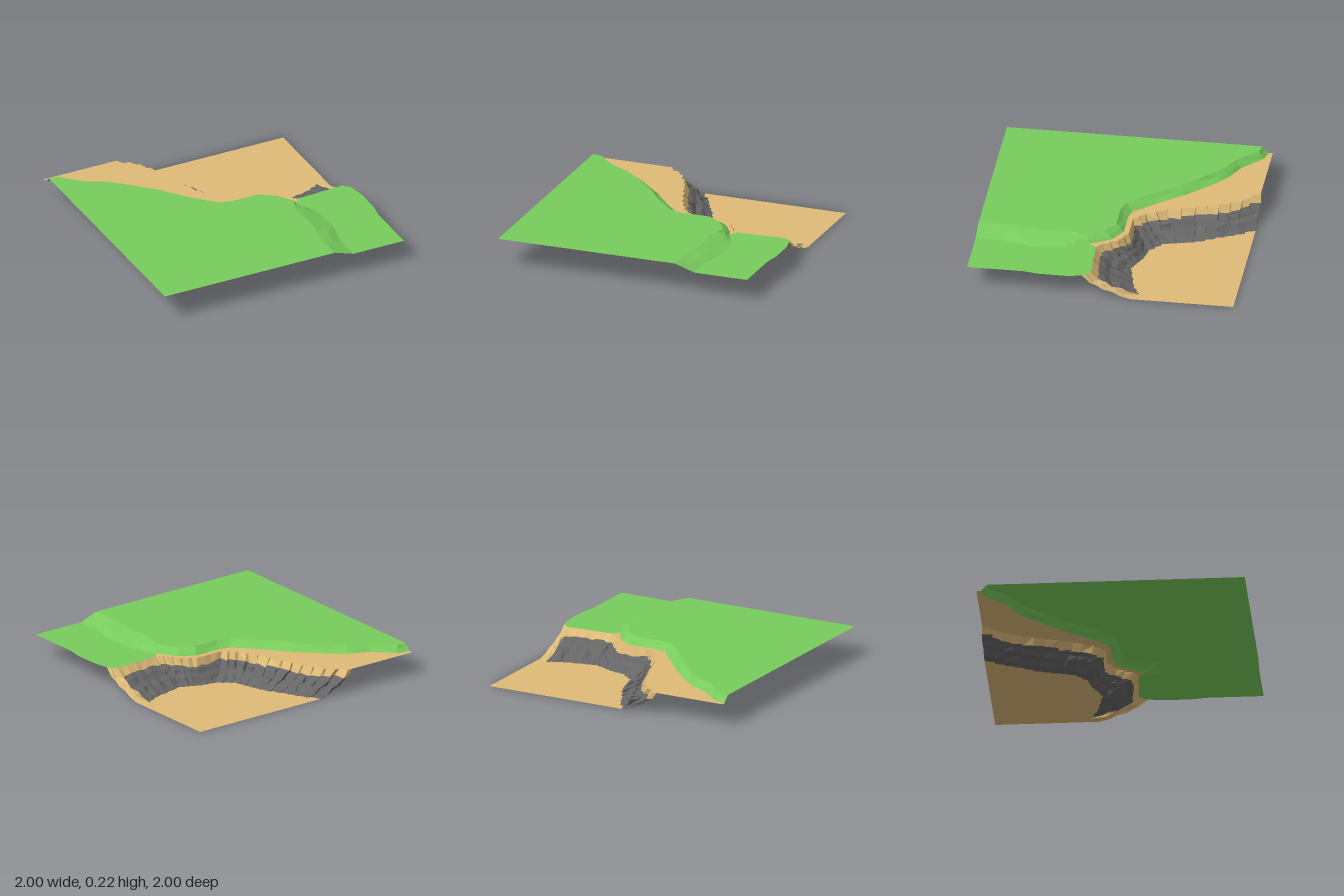
import * as THREE from 'three';

const TOP = 0.22, LEDGE = 0.17;
const SAND = 0xdebb78, GRASS = 0x78cc5c, ROCK = 0x666666;

let seed = 7;
const rand = () => {
  seed = (seed * 16807) % 2147483647;
  return seed / 2147483647 - 0.5;
};

const material = (color) =>
  new THREE.MeshStandardMaterial({ color, flatShading: true, side: THREE.DoubleSide });

function addMesh(group, name, geometry, color) {
  const mesh = new THREE.Mesh(geometry, material(color));
  mesh.name = name;
  group.add(mesh);
}

// Level polygon at height y from [x, z] points
function level(points, y) {
  const shape = new THREE.Shape(points.map(([x, z]) => new THREE.Vector2(x, -z)));
  return new THREE.ShapeGeometry(shape).rotateX(-Math.PI / 2).translate(0, y, 0);
}

// Surface through rows of [x, y, z], keeping only the cells that pass the test
function strip(rows, keep = () => true) {
  const n = rows[0].length, index = [];
  for (let j = 0; j < rows.length - 1; j++) {
    for (let i = 0; i < n - 1; i++) {
      if (!keep(i, j)) continue;
      const a = j * n + i, b = a + 1, c = a + n, d = c + 1;
      index.push(a, b, c, b, d, c);
    }
  }
  const geometry = new THREE.BufferGeometry();
  geometry.setAttribute('position', new THREE.Float32BufferAttribute(rows.flat(2), 3));
  geometry.setIndex(index);
  geometry.computeVertexNormals();
  return geometry;
}

// Split every segment of a path into equal steps
function resample(path, steps) {
  const out = [];
  for (let i = 0; i < path.length - 1; i++) {
    for (let k = 0; k < steps; k++) {
      const t = k / steps;
      out.push(path[i].map((v, c) => v + (path[i + 1][c] - v) * t));
    }
  }
  out.push(path[path.length - 1]);
  return out;
}

// Turn a path into stair-like zigzags, leaving both ends in place
const zigzag = (path) =>
  path.map(([x, z], i) => (i % 2 && i < path.length - 1 ? [x, path[i - 1][1]] : [x, z]));

export function createModel() {
  const model = new THREE.Group();
  model.name = 'terrain';

  // Cliff edges, from the back to the left side
  const brink = zigzag(resample([
    [-0.44, -1], [-0.29, -0.88], [-0.2, -0.72], [-0.14, -0.55], [-0.07, -0.35], [0.01, -0.2],
    [0.1, -0.12], [0.3, -0.12], [0.42, -0.06], [0.5, 0.06], [0.55, 0.09], [0.75, 0.08],
    [0.92, 0.07], [0.98, 0.13]], 4));
  const foot = zigzag(resample([
    [-0.17, -1], [-0.06, -0.85], [0, -0.72], [0.08, -0.58], [0.12, -0.45], [0.15, -0.34],
    [0.25, -0.26], [0.36, -0.24], [0.45, -0.2], [0.53, -0.17], [0.6, -0.19], [0.78, -0.23],
    [0.9, -0.29], [0.98, -0.23]], 4));
  const last = brink.length - 1;

  // Rough stepped rock face between the two edges
  const profile = [[0, 0.17], [0.15, 0.115], [0.3, 0.095], [0.42, 0.065], [0.62, 0.05], [0.78, 0.02], [1, 0]];
  const rows = profile.map(([t, y], j) => brink.map(([x, z], i) => {
    const inner = j > 0 && j < profile.length - 1;
    const rough = inner && i > 0 && i < last ? 1 : 0;
    return [
      x + (foot[i][0] - x) * t + rough * rand() * 0.02,
      y + rough * rand() * 0.02,
      z + (foot[i][1] - z) * t + rough * rand() * 0.02];
  }));
  const sandy = (i, j) => j === 0 || i >= last - 4;
  addMesh(model, 'cliffSandLip', strip(rows, sandy), SAND);
  addMesh(model, 'cliffRock', strip(rows, (i, j) => !sandy(i, j)), ROCK);

  // Low sandy ground below the cliff
  addMesh(model, 'lowGround', level([...foot, [0.98, -1]], 0), SAND);

  // Grass bank: outer edge on the ledge, inner edge on the plateau
  const outer = resample([
    [-1, -0.97], [-0.91, -0.95], [-0.75, -0.8], [-0.6, -0.73], [-0.5, -0.65], [-0.3, -0.45],
    [-0.15, -0.27], [0, -0.1], [0.08, -0.08], [0.3, -0.08], [0.42, -0.01], [0.49, 0.1],
    [0.53, 0.2], [0.59, 0.3], [0.61, 0.55], [0.56, 0.8], [0.56, 0.99]], 2);
  const inner = resample([
    [-1, -0.92], [-0.93, -0.91], [-0.78, -0.76], [-0.63, -0.68], [-0.54, -0.6], [-0.34, -0.4],
    [-0.2, -0.22], [-0.04, -0.05], [0.06, -0.02], [0.28, -0.02], [0.38, 0.05], [0.44, 0.13],
    [0.47, 0.2], [0.43, 0.3], [0.44, 0.55], [0.4, 0.8], [0.41, 0.99]], 2);
  const middle = outer.map(([x, z], i) => {
    const rough = i > 0 && i < outer.length - 1 ? 0.025 : 0;
    return [(x + inner[i][0]) / 2 + rough * rand(), 0.195 + rough * rand() * 0.5,
      (z + inner[i][1]) / 2 + rough * rand()];
  });
  addMesh(model, 'grassBank', strip([
    inner.map(([x, z]) => [x, TOP, z]), middle, outer.map(([x, z]) => [x, LEDGE, z])]), GRASS);

  // High grass plateau
  addMesh(model, 'grassPlateau', level([...inner, [-1, 0.99]], TOP), GRASS);

  // Sandy ledge and lower grass field, meeting where the bank turns forward
  const split = 40, corner = 23;
  addMesh(model, 'sandLedge', level([
    [-1, -1], ...brink.slice(0, split + 1), ...outer.slice(0, corner + 1).reverse()], LEDGE), SAND);
  addMesh(model, 'lowerGrass', level([
    ...brink.slice(split), [1, 0.25], [1, 0.45], [0.98, 0.57], [0.98, 0.99],
    ...outer.slice(corner).reverse()], LEDGE), GRASS);

  return model;
}
